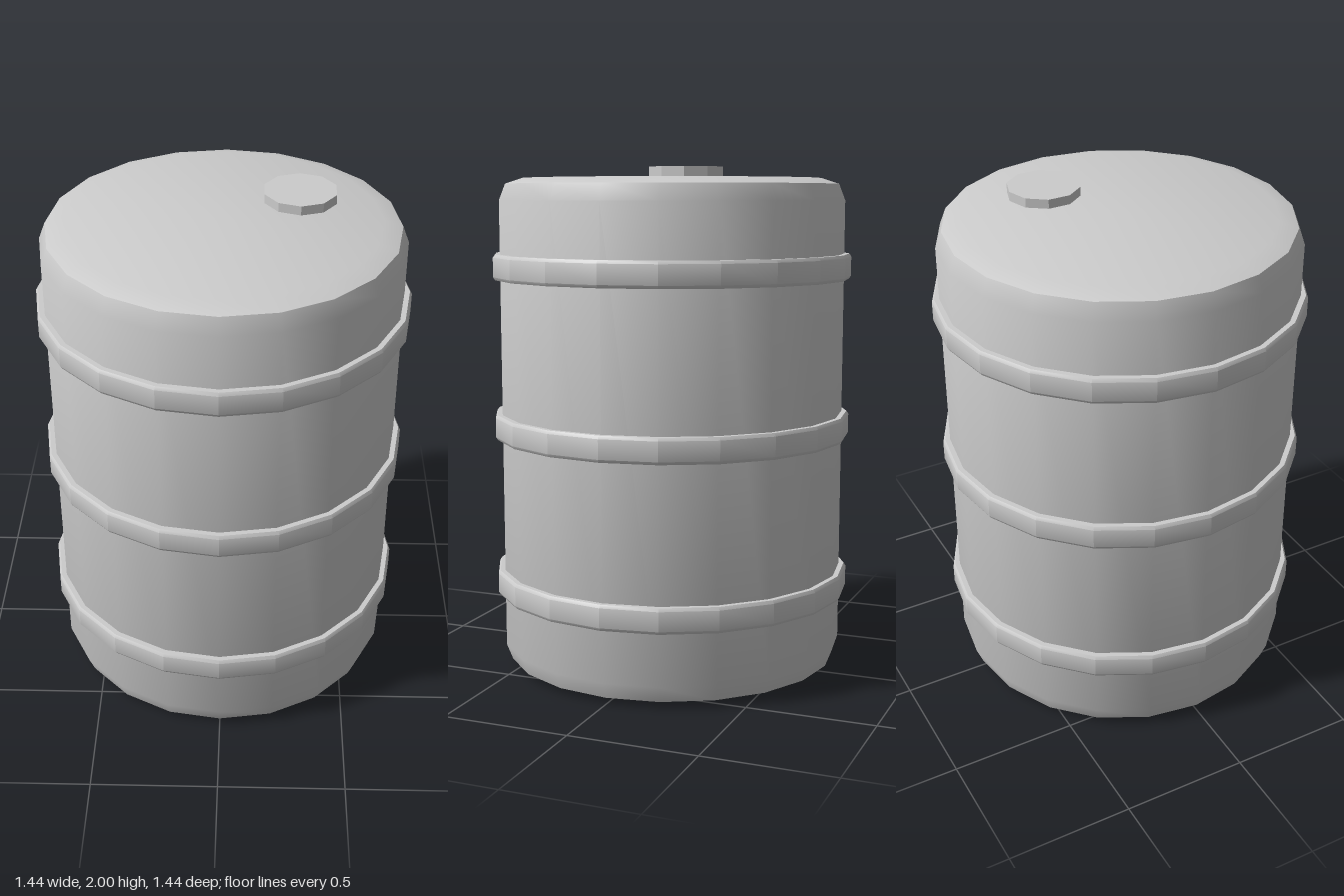
import * as THREE from 'three';
import { toCreasedNormals } from 'three/addons/utils/BufferGeometryUtils.js';

const SIDES = 20;

// Revolves a bottom-to-top [radius, height] profile, keeping hard rims sharp
function revolve(name, profile, material) {
  const points = profile.map(([r, y]) => new THREE.Vector2(r, y));
  const geometry = toCreasedNormals(new THREE.LatheGeometry(points, SIDES), THREE.MathUtils.degToRad(35));
  const mesh = new THREE.Mesh(geometry, material);
  mesh.name = name;
  return mesh;
}

export function createModel() {
  const group = new THREE.Group();
  group.name = 'barrel';
  const metal = new THREE.MeshStandardMaterial({ color: 0xcccccc });
  metal.name = 'light grey';

  // Drum with bevelled rims and slightly raised ends
  const H = 1.965;
  const rim = [[0, 0], [0.595, 0.003], [0.665, 0.026], [0.69, 0.09]];
  const upperRim = rim.map(([r, y]) => [r, H - y]).reverse();
  group.add(revolve('drumBody', [...rim, ...upperRim], metal));

  // Three reinforcing hoops
  const hoop = [[0.68, -0.05], [0.71, -0.05], [0.718, -0.038], [0.718, 0.038], [0.71, 0.05], [0.68, 0.05]];
  ['lowerHoop', 'middleHoop', 'upperHoop'].forEach((name, i) => {
    const mesh = revolve(name, hoop, metal);
    mesh.position.y = 0.35 + i * 0.633;
    group.add(mesh);
  });

  // Faceted filler cap on the lid
  const capGeometry = toCreasedNormals(new THREE.CylinderGeometry(0.143, 0.143, 0.05, 10), 0.4);
  const cap = new THREE.Mesh(capGeometry, metal);
  cap.name = 'fillerCap';
  cap.position.set(0.287, 1.975, -0.175);
  group.add(cap);

  return group;
}
